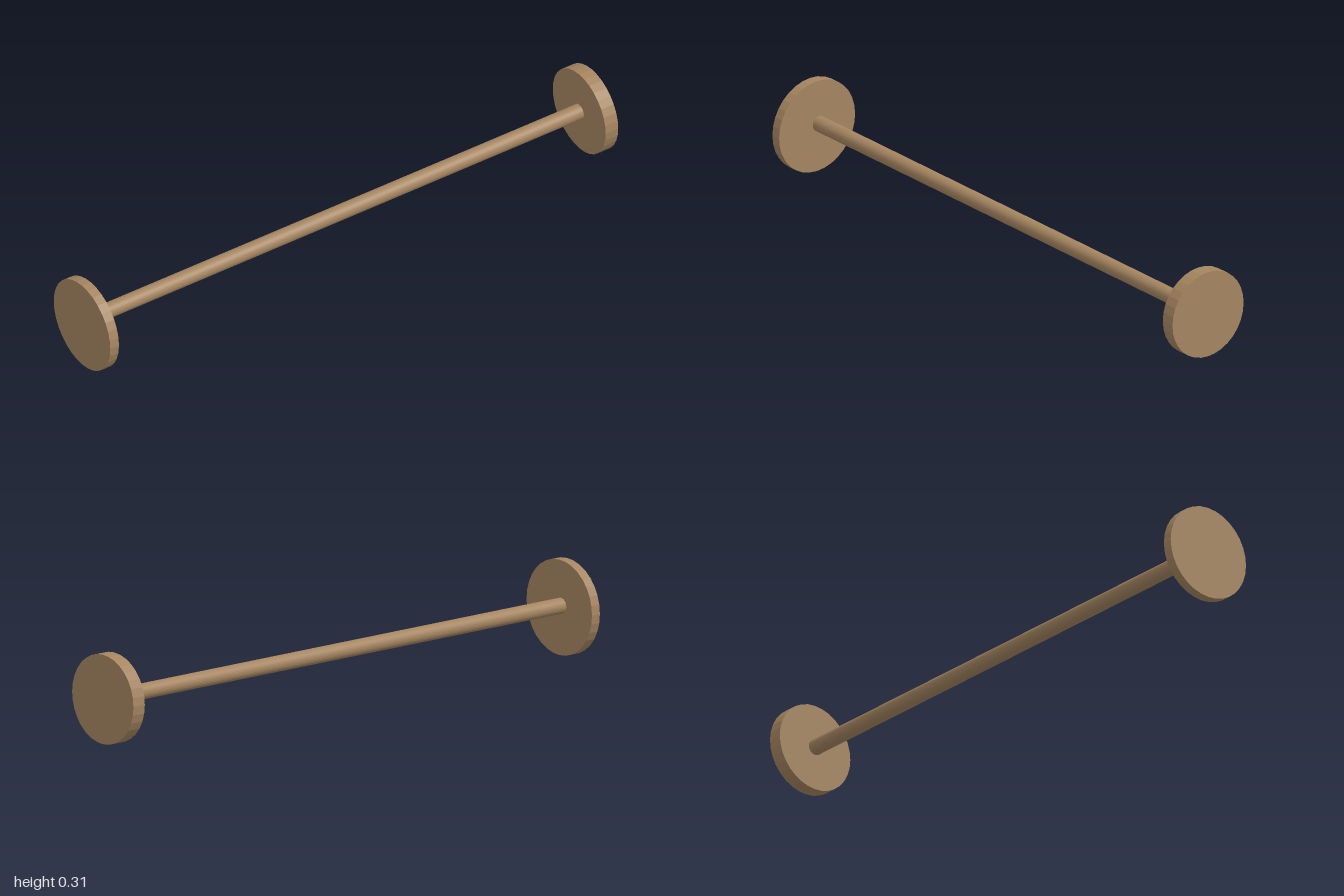
import * as THREE from 'three';

const wood = new THREE.MeshStandardMaterial({ color: 0xa58560, flatShading: true });

// Cylinder lying along z, between two z positions
function rodAlongZ(name, radius, zFrom, zTo, x, y) {
  const geometry = new THREE.CylinderGeometry(radius, radius, zTo - zFrom, 32);
  geometry.rotateX(Math.PI / 2);
  const mesh = new THREE.Mesh(geometry, wood);
  mesh.name = name;
  mesh.position.set(x, y, (zFrom + zTo) / 2);
  return mesh;
}

export function createModel() {
  const model = new THREE.Group();
  model.name = 'axleWithDiscs';

  // Wide thin disc at the front
  model.add(rodAlongZ('frontDisc', 0.157, 0.966, 1, 0, 0.157));

  // Axle and smaller, thicker back disc share a slightly offset centre line
  model.add(rodAlongZ('axle', 0.026, -0.96, 0.97, -0.008, 0.164));
  model.add(rodAlongZ('backDisc', 0.147, -1, -0.951, -0.008, 0.164));

  return model;
}
